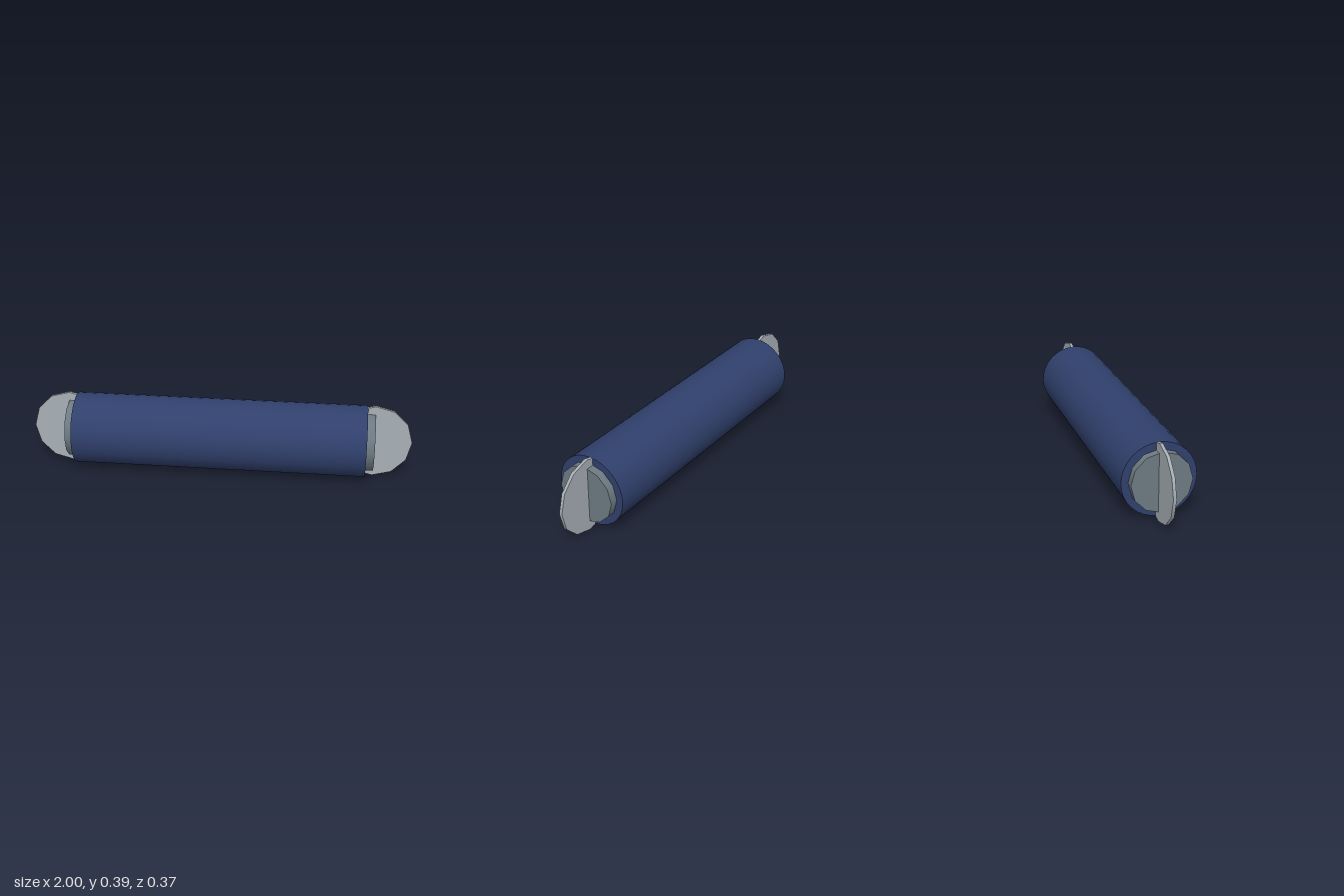
import * as THREE from 'three';

export function createModel() {
  const model = new THREE.Group();
  model.name = 'roller';

  const blue = new THREE.MeshStandardMaterial({ name: 'navy blue', color: 0x30406c });
  const steel = new THREE.MeshStandardMaterial({ name: 'dark steel', color: 0x6e7a82 });
  const silver = new THREE.MeshStandardMaterial({ name: 'light steel', color: 0xa8b0b6 });

  const axisY = 0.197;
  const add = (name, geometry, material, x, z = 0) => {
    const mesh = new THREE.Mesh(geometry, material);
    mesh.name = name;
    mesh.position.set(x, axisY, z);
    model.add(mesh);
  };

  // Long smooth barrel lying along x
  const barrel = new THREE.CylinderGeometry(0.187, 0.187, 1.526, 32).rotateZ(Math.PI / 2);
  add('barrel', barrel, blue, 0);

  // Twelve-sided hub and upright disc fin at each end
  const hub = new THREE.CylinderGeometry(0.152, 0.152, 0.08, 12).rotateZ(Math.PI / 2);
  const fin = new THREE.CylinderGeometry(0.197, 0.197, 0.016, 12).rotateX(Math.PI / 2);
  for (const [side, s] of [['left', 1], ['right', -1]]) {
    add(side + 'Hub', hub, steel, s * 0.765);
    add(side + 'Fin', fin, silver, s * 0.803, -0.008);
  }
  return model;
}
